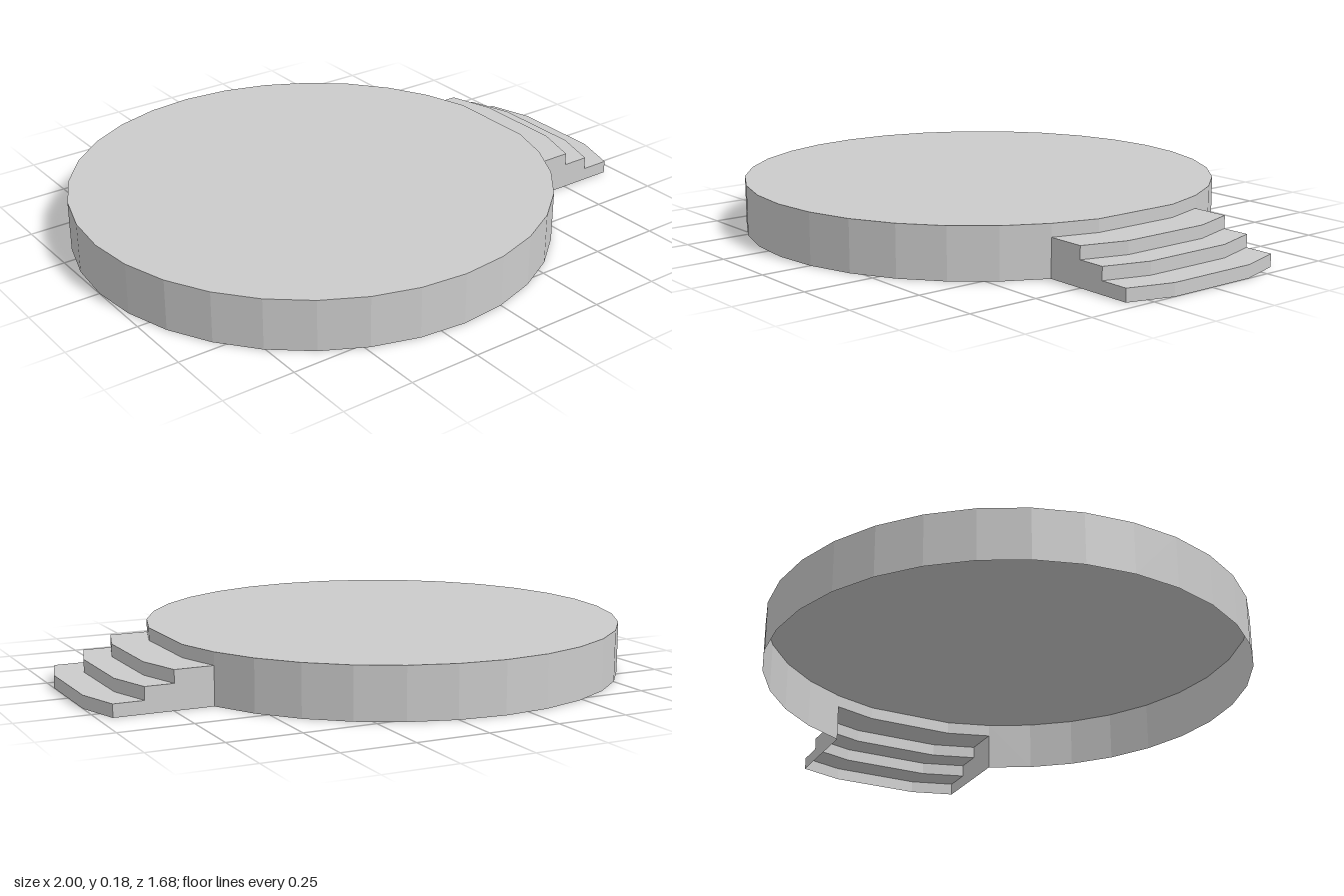
import * as THREE from 'three';

const R = 0.838, CX = -0.162, H = 0.179, SIDES = 32;
const STEP_H = H / 4;
const OFFSETS = [0.34, 0.235, 0.135, 0]; // riser distance from the disc edge, bottom to top

export function createModel() {
  const group = new THREE.Group();
  const material = new THREE.MeshStandardMaterial({
    color: 0xcccccc, flatShading: true, side: THREE.DoubleSide,
  });
  const add = (name, geometry) => {
    const mesh = new THREE.Mesh(geometry, material);
    mesh.name = name;
    group.add(mesh);
    return mesh;
  };
  const rim = (i) => {
    const a = (i / SIDES) * Math.PI * 2;
    return new THREE.Vector2(CX + R * Math.cos(a), R * Math.sin(a));
  };

  // Platform top: the edge facing the stairs skips one corner and is flat
  const corners = [];
  for (let i = 1; i < SIDES; i++) corners.push(rim(i));
  add('platformTop', new THREE.ShapeGeometry(new THREE.Shape(corners)).rotateX(-Math.PI / 2))
    .position.y = H;

  // Platform wall: open underneath and behind the stairs
  const gap = Math.PI / 8;
  add('platformWall', new THREE.CylinderGeometry(R, R, H, SIDES - 4, 1, true,
    Math.PI / 2 + gap, Math.PI * 2 - gap * 2)).position.set(CX, H / 2, 0);

  // Stair profile (offset, height) from the ground up to the platform
  const profile = [];
  OFFSETS.forEach((d, i) => profile.push([d, i * STEP_H], [d, (i + 1) * STEP_H]));

  // Risers and treads: the profile swept along the platform's edge
  const edge = [2, 1, -1, -2].map(rim);
  const strip = ([d0, y0], [d1, y1]) => {
    const pos = [];
    for (let i = 0; i < edge.length - 1; i++) {
      const p = edge[i], q = edge[i + 1];
      const a = [p.x + d0, y0, p.y], b = [q.x + d0, y0, q.y];
      const c = [q.x + d1, y1, q.y], e = [p.x + d1, y1, p.y];
      pos.push(...a, ...b, ...c, ...a, ...c, ...e);
    }
    const g = new THREE.BufferGeometry();
    g.setAttribute('position', new THREE.Float32BufferAttribute(pos, 3));
    g.computeVertexNormals();
    return g;
  };
  for (let i = 0; i < profile.length - 1; i++) {
    add((i % 2 ? 'tread' : 'riser') + (Math.floor(i / 2) + 1), strip(profile[i], profile[i + 1]));
  }

  // Stepped cheeks closing both ends of the stairs
  const end = rim(2);
  const cheek = new THREE.Shape([
    new THREE.Vector2(end.x, 0),
    ...profile.slice(0, -2).map(([d, y]) => new THREE.Vector2(end.x + d, y)),
    new THREE.Vector2(end.x, STEP_H * 3),
  ]);
  add('stairCheekFront', new THREE.ShapeGeometry(cheek)).position.z = end.y;
  add('stairCheekBack', new THREE.ShapeGeometry(cheek)).position.z = -end.y;

  return group;
}
